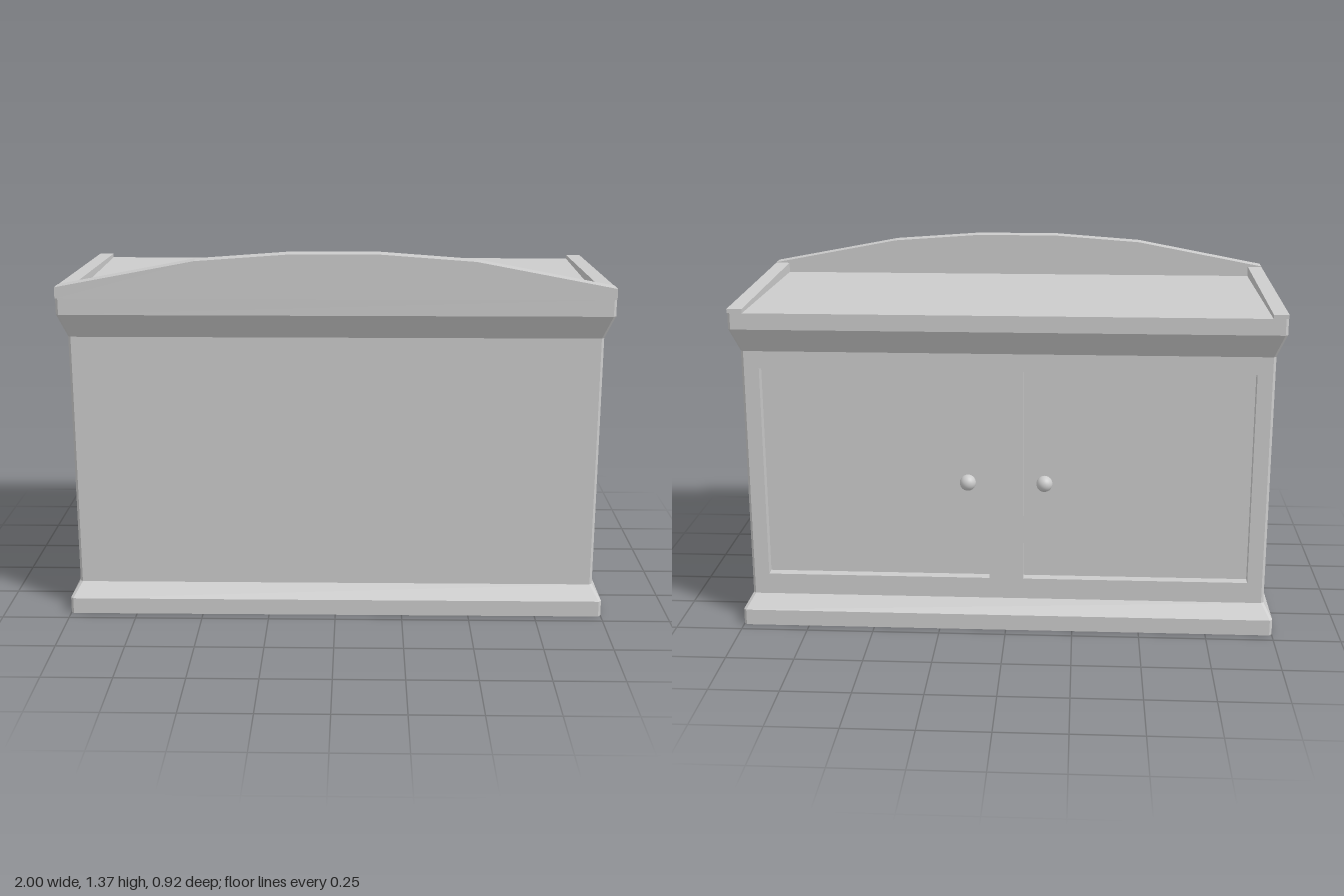
import * as THREE from 'three';

const solid = new THREE.MeshStandardMaterial({ color: 0xcccccc });
const thin = new THREE.MeshStandardMaterial({ color: 0xcccccc, side: THREE.DoubleSide });

// Heights and half sizes of the hollow body: [halfX, halfZ, y]
const SECTIONS = [
  [1, 0.458, 0], [1, 0.458, 0.06], [0.97, 0.41, 0.11],
  [0.97, 0.41, 1.06], [1, 0.458, 1.15], [1, 0.458, 1.21],
];
const BEVEL = 0.01;
const WALL = 2; // section index of the upright wall
const BACK = 1; // ring side that faces the back

// Door openings in the back wall
const DOOR = { x0: 0.064, x1: 0.905, y0: 0.19, y1: 0.995, z: -0.372 };
const DOOR_W = DOOR.x1 - DOOR.x0, DOOR_H = DOOR.y1 - DOOR.y0;
const DOOR_X = (DOOR.x0 + DOOR.x1) / 2, DOOR_Y = (DOOR.y0 + DOOR.y1) / 2;

function add(parent, name, geometry, material, x = 0, y = 0, z = 0) {
  const mesh = new THREE.Mesh(geometry, material);
  mesh.name = name;
  mesh.position.set(x, y, z);
  parent.add(mesh);
  return mesh;
}

function shapeOf(points) {
  return new THREE.Shape(points.map(([x, y]) => new THREE.Vector2(x, y)));
}

// Rectangle with narrow bevelled corners, counterclockwise from above
function ring([hx, hz, y]) {
  const a = hx - BEVEL, b = hz - BEVEL;
  return [[hx, -b], [a, -hz], [-a, -hz], [-hx, -b], [-hx, b], [-a, hz], [a, hz], [hx, b]]
    .map(([x, z]) => [x, y, z]);
}

// Thin flared shell, leaving out the back wall
function shellGeometry() {
  const rings = SECTIONS.map(ring);
  const positions = [];
  for (let s = 0; s < rings.length - 1; s++) {
    for (let i = 0; i < 8; i++) {
      if (s === WALL && i === BACK) continue;
      const j = (i + 1) % 8;
      const a = rings[s][i], b = rings[s][j], c = rings[s + 1][j], d = rings[s + 1][i];
      positions.push(...a, ...b, ...c, ...a, ...c, ...d);
    }
  }
  const geometry = new THREE.BufferGeometry();
  geometry.setAttribute('position', new THREE.Float32BufferAttribute(positions, 3));
  geometry.computeVertexNormals();
  return geometry;
}

// Back wall with the two door openings
function backWallGeometry() {
  const [hx, , y0] = SECTIONS[WALL];
  const y1 = SECTIONS[WALL + 1][2], w = hx - BEVEL;
  const shape = shapeOf([[-w, y0], [w, y0], [w, y1], [-w, y1]]);
  for (const s of [-1, 1]) {
    shape.holes.push(new THREE.Path([
      [s * DOOR.x0, DOOR.y0], [s * DOOR.x0, DOOR.y1], [s * DOOR.x1, DOOR.y1], [s * DOOR.x1, DOOR.y0],
    ].map(([x, y]) => new THREE.Vector2(x, y))));
  }
  return new THREE.ShapeGeometry(shape).rotateY(Math.PI);
}

// Box left open at the back
function compartmentGeometry(depth) {
  const geometry = new THREE.BoxGeometry(DOOR_W, DOOR_H, depth);
  geometry.setIndex(Array.from(geometry.index.array).slice(0, 30));
  geometry.clearGroups();
  return geometry;
}

export function createModel() {
  const model = new THREE.Group();
  model.name = 'counter';

  // Body
  add(model, 'bodyShell', shellGeometry(), thin);
  add(model, 'backWall', backWallGeometry(), thin, 0, 0, -0.41);

  // Compartments, recessed doors and knobs
  const depth = 0.64;
  for (const [side, s] of [['left', 1], ['right', -1]]) {
    const cupboard = new THREE.Group();
    cupboard.name = side + 'Cupboard';
    model.add(cupboard);
    add(cupboard, 'compartment', compartmentGeometry(depth), thin, s * DOOR_X, DOOR_Y, -0.41 + depth / 2);
    add(cupboard, 'door', new THREE.PlaneGeometry(DOOR_W, DOOR_H).rotateY(Math.PI), thin, s * DOOR_X, DOOR_Y, DOOR.z);
    add(cupboard, 'knob', new THREE.SphereGeometry(0.03, 24, 16), solid, s * 0.142, 0.57, -0.413);
    add(cupboard, 'knobStem', new THREE.CylinderGeometry(0.012, 0.012, 0.04, 16).rotateX(Math.PI / 2),
      solid, s * 0.142, 0.57, -0.39);
  }

  // Sunken top
  add(model, 'topSurface', new THREE.PlaneGeometry(2, 0.916).rotateX(-Math.PI / 2), thin, 0, 1.21, 0);

  // Arched front board
  const arch = shapeOf([
    [-1, 1.21], [1, 1.21], [1, 1.25], [0.5, 1.345], [0.16, 1.37],
    [-0.16, 1.37], [-0.5, 1.345], [-1, 1.25],
  ]);
  add(model, 'frontBoard', new THREE.ExtrudeGeometry(arch, { depth: 0.067, bevelEnabled: false }), solid, 0, 0, 0.391);

  // Sloping side rims
  const rim = shapeOf([[-0.458, 1.21], [0.391, 1.21], [0.391, 1.248], [-0.458, 1.225]]);
  const rimGeometry = new THREE.ExtrudeGeometry(rim, { depth: 0.055, bevelEnabled: false }).rotateY(-Math.PI / 2);
  add(model, 'leftRim', rimGeometry, solid, 1);
  add(model, 'rightRim', rimGeometry, solid, -0.945);

  return model;
}
